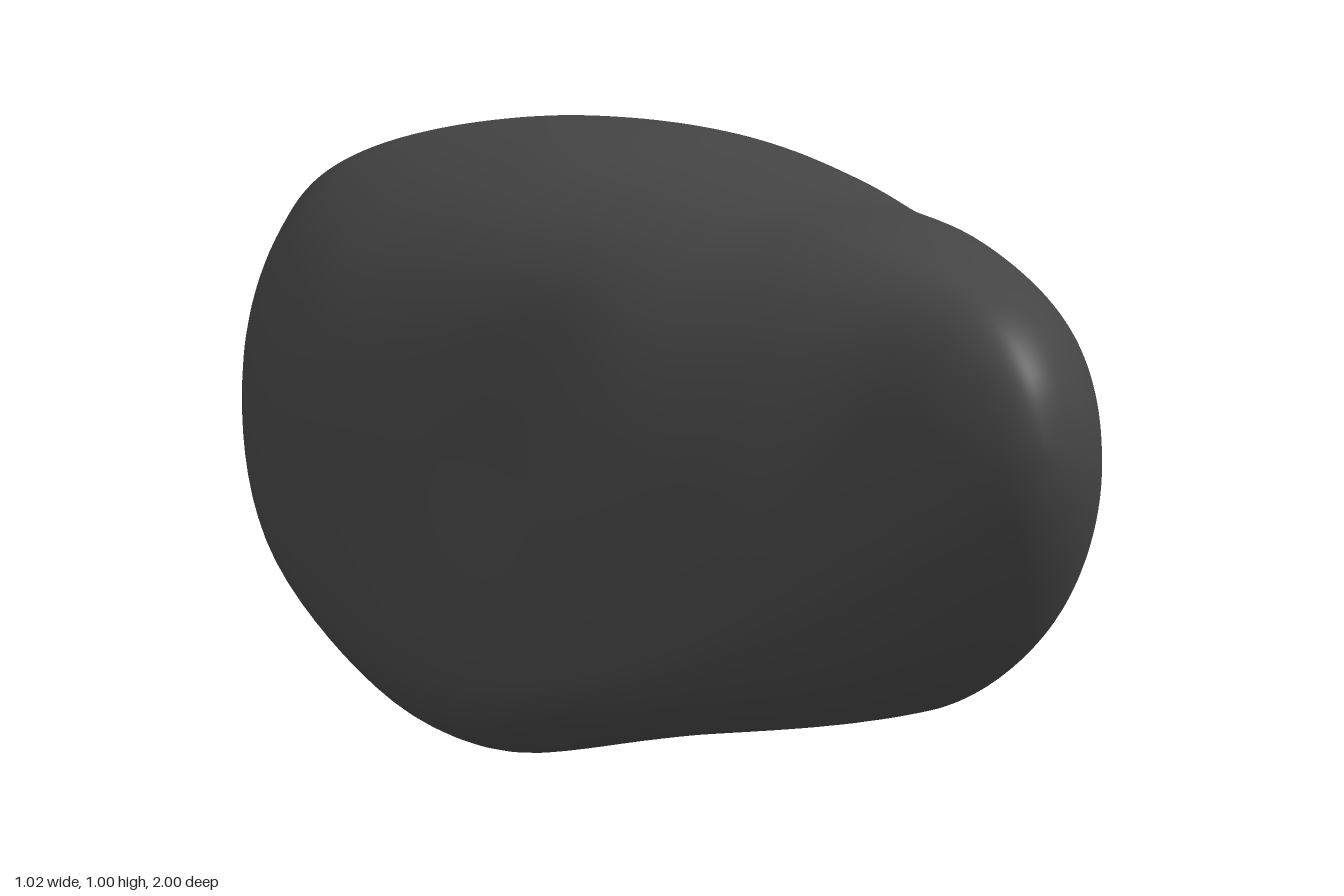
import * as THREE from 'three';
import { mergeVertices } from 'three/addons/utils/BufferGeometryUtils.js';

// Cross-sections from front to back, at z = cos(0, 15, 30 ... 180 degrees).
// Each: left x, right x, bottom y, top y, x of top, x of bottom, y of left, y of right
const SECTIONS = [
  [-0.02, -0.02, 0.77, 0.77, -0.02, -0.02, 0.77, 0.77],
  [-0.08, 0.07, 0.64, 0.88, -0.02, -0.01, 0.76, 0.74],
  [-0.15, 0.17, 0.48, 0.96, -0.02, 0.02, 0.68, 0.68],
  [-0.225, 0.26, 0.31, 0.99, -0.02, 0.06, 0.56, 0.62],
  [-0.36, 0.31, 0.18, 0.997, -0.02, 0.09, 0.38, 0.58],
  [-0.465, 0.37, 0.11, 0.965, -0.01, 0.1, 0.28, 0.53],
  [-0.465, 0.46, 0.045, 0.95, 0, 0, 0.28, 0.5],
  [-0.495, 0.51, 0.03, 0.935, 0, -0.2, 0.31, 0.49],
  [-0.505, 0.425, 0.135, 0.888, 0, -0.2, 0.34, 0.49],
  [-0.415, 0.3, 0.295, 0.825, -0.02, -0.13, 0.45, 0.54],
  [-0.265, 0.185, 0.42, 0.755, -0.03, -0.09, 0.54, 0.57],
  [-0.15, 0.08, 0.51, 0.685, -0.04, -0.05, 0.59, 0.59],
  [-0.04, -0.04, 0.6, 0.6, -0.04, -0.04, 0.6, 0.6],
];

// Squareness of each section's corners (2 is an ellipse):
// top right, top left, bottom left, bottom right
const FULLNESS = [
  [2, 2, 2, 2],
  [2, 2, 2, 2],
  [2.1, 2.1, 2.1, 2.1],
  [2.2, 2.2, 2.1, 2.2],
  [2.4, 2.2, 2.1, 2.2],
  [2.5, 2.2, 2.6, 2.2],
  [2.3, 2.3, 3.6, 2.2],
  [2.05, 2.3, 3, 2.1],
  [2.1, 2.3, 2.4, 2.2],
  [2.2, 2.2, 2.3, 2.3],
  [2.2, 2.2, 2.3, 2.3],
  [2.1, 2.1, 2.1, 2.1],
  [2, 2, 2, 2],
];

// Two shallow hollows and the lump it rests on: centre, push, radius
const DENTS = [
  { at: [-0.43, 0.53, -0.03], push: [0.05, -0.01, 0], radius: 0.25 },
  { at: [0.25, 0.17, -0.4], push: [-0.05, 0.055, 0.02], radius: 0.2 },
  { at: [-0.26, 0.03, -0.12], push: [0, -0.03, 0], radius: 0.16 },
].map((d) => ({ at: new THREE.Vector3(...d.at), push: new THREE.Vector3(...d.push), radius: d.radius }));

// Catmull-Rom blend of a table's rows at a fractional index
function blendRows(table, t) {
  const last = table.length - 1;
  const i = Math.min(Math.floor(t), last - 1);
  const f = t - i;
  const row = (k) => table[Math.max(0, Math.min(last, k))];
  return table[0].map((_, c) => {
    const [a, b, d, e] = [row(i - 1)[c], row(i)[c], row(i + 1)[c], row(i + 2)[c]];
    return b + 0.5 * f * (d - a + f * (2 * a - 5 * b + 4 * d - e + f * (3 * (b - d) + e - a)));
  });
}

function stoneGeometry() {
  let geometry = new THREE.SphereGeometry(1, 128, 96);
  geometry.rotateX(Math.PI / 2); // poles point to the front and back
  const pos = geometry.attributes.position;
  const p = new THREE.Vector3();
  for (let i = 0; i < pos.count; i++) {
    p.fromBufferAttribute(pos, i);
    const t = (Math.acos(THREE.MathUtils.clamp(p.z, -1, 1)) / Math.PI) * (SECTIONS.length - 1);
    const [xl, xr, yb, yt, xTop, xBottom, yLeft, yRight] = blendRows(SECTIONS, t);
    const corners = blendRows(FULLNESS, t);
    const r = Math.hypot(p.x, p.y) || 1;
    const right = p.x > 0;
    const up = p.y > 0;
    const n = corners[up ? (right ? 0 : 1) : right ? 3 : 2];
    const c = Math.abs(p.x / r) ** (2 / n);
    const s = Math.abs(p.y / r) ** (2 / n);
    // Four rounded quarters joined at the section's extremes
    const cx = up ? xTop : xBottom;
    const cy = right ? yRight : yLeft;
    p.x = cx + c * ((right ? xr : xl) - cx);
    p.y = cy + s * ((up ? yt : yb) - cy);
    for (const d of DENTS) {
      p.addScaledVector(d.push, Math.exp(-p.distanceToSquared(d.at) / d.radius ** 2));
    }
    pos.setXYZ(i, p.x, p.y, p.z);
  }
  // Weld the seam so the surface shades smoothly all round
  geometry.deleteAttribute('uv');
  geometry.deleteAttribute('normal');
  geometry = mergeVertices(geometry, 1e-4);
  geometry.computeVertexNormals();
  geometry.computeBoundingBox();
  geometry.translate(0, -geometry.boundingBox.min.y, 0);
  return geometry;
}

export function createModel() {
  const group = new THREE.Group();
  group.name = 'rock';
  const darkStone = new THREE.MeshStandardMaterial({ color: 0x454545 });
  darkStone.name = 'darkStone';
  const stone = new THREE.Mesh(stoneGeometry(), darkStone);
  stone.name = 'stone';
  group.add(stone);
  return group;
}
